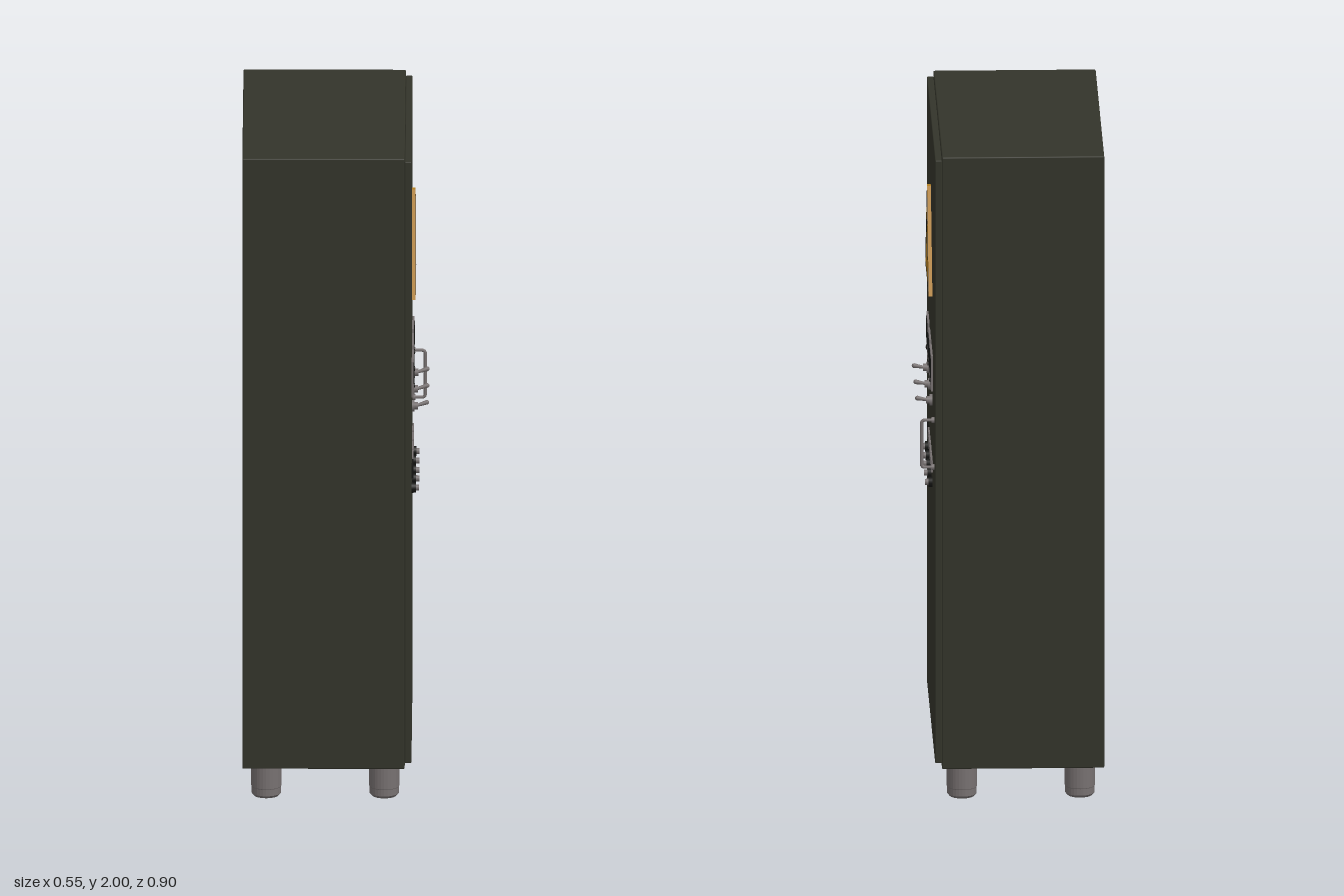
import * as THREE from 'three';
import { RoundedBoxGeometry } from 'three/addons/geometries/RoundedBoxGeometry.js';

const mat = (name, color) => {
  const m = new THREE.MeshStandardMaterial({ color });
  m.name = name;
  return m;
};

export function createModel() {
  const olive = mat('olive paint', 0x33342a);
  const grey = mat('grey metal', 0x767070);
  const yellow = mat('warning yellow', 0xb27e22);
  const black = mat('black', 0x151513);

  const root = new THREE.Group();
  root.name = 'electricalCabinet';

  const add = (parent, name, geo, material, x = 0, y = 0, z = 0) => {
    const m = new THREE.Mesh(geo, material);
    m.name = name;
    m.position.set(x, y, z);
    parent.add(m);
    return m;
  };
  const box = (w, h, d) => new THREE.BoxGeometry(w, h, d);
  // Cylinder pointing out of the door, starting at local z = 0
  const peg = (r0, r1, len, sides = 20) =>
    new THREE.CylinderGeometry(r1, r0, len, sides).rotateX(Math.PI / 2).translate(0, 0, len / 2);

  // Cabinet body and door
  add(root, 'body', new RoundedBoxGeometry(0.483, 1.9, 0.9, 2, 0.004), olive, -0.0365, 1.05, 0);
  add(root, 'door', new RoundedBoxGeometry(0.02, 1.872, 0.87, 2, 0.003), olive, 0.215, 1.05, 0);
  add(root, 'doorSeal', box(0.006, 1.85, 0.85), black, 0.206, 1.05, 0);

  // Four feet with bevelled ends
  const footProfile = [[0, 0], [0.037, 0], [0.044, 0.008], [0.044, 0.028], [0.045, 0.03], [0.045, 0.1], [0, 0.1]]
    .map(([r, y]) => new THREE.Vector2(r, y));
  const footGeo = new THREE.LatheGeometry(footProfile, 28).toNonIndexed();
  footGeo.computeVertexNormals();
  for (const x of [-0.207, 0.144])
    for (const z of [-0.384, 0.384]) add(root, 'foot', footGeo, grey, x, 0, z);

  // Door fittings: local x runs along -z, local z points out of the door
  const panel = new THREE.Group();
  panel.name = 'doorFittings';
  panel.rotation.y = Math.PI / 2;
  panel.position.x = 0.225;
  root.add(panel);

  // Warning sign
  const triangle = (half, bottom, top, Type = THREE.Shape) => {
    const s = new Type();
    s.moveTo(-half, bottom);
    s.lineTo(half, bottom);
    s.lineTo(half * 0.06, top);
    s.lineTo(-half * 0.06, top);
    s.closePath();
    return s;
  };
  const sign = new THREE.Group();
  sign.name = 'warningSign';
  sign.position.set(-0.018, 1.48, 0);
  panel.add(sign);
  add(sign, 'signPlate', new THREE.ExtrudeGeometry(triangle(0.172, 0, 0.295),
    { depth: 0.011, bevelEnabled: false }), yellow);
  const border = triangle(0.155, 0.01, 0.274);
  border.holes.push(triangle(0.147, 0.0145, 0.264, THREE.Path));
  add(sign, 'signBorder', new THREE.ExtrudeGeometry(border,
    { depth: 0.001, bevelEnabled: false }), black, 0, 0, 0.011);
  const bolt = new THREE.Shape([[0.012, 0.19], [-0.018, 0.147], [-0.002, 0.147], [-0.012, 0.105],
    [0.014, 0.158], [-0.001, 0.158]].map(([x, y]) => new THREE.Vector2(x, y)));
  add(sign, 'signBolt', new THREE.ExtrudeGeometry(bolt,
    { depth: 0.001, bevelEnabled: false }), black, -0.012, 0, 0.011);

  // Three meters, each with a toggle switch below
  for (const x of [-0.198, -0.03, 0.137]) {
    const meter = new THREE.Group();
    meter.name = 'meter';
    meter.position.set(x, 1.254, 0);
    panel.add(meter);
    add(meter, 'meterCase', box(0.127, 0.11, 0.006), grey, 0, 0, 0.003);
    add(meter, 'meterWindow', box(0.108, 0.06, 0.002), black, 0, 0.014, 0.0065);
    add(meter, 'meterScrew', peg(0.008, 0.007, 0.003), black, 0, -0.036, 0.006);
    add(meter, 'meterScrewCap', peg(0.005, 0.004, 0.003), grey, 0, -0.036, 0.007);

    const toggle = new THREE.Group();
    toggle.name = 'toggleSwitch';
    toggle.position.set(x, 1.154, 0);
    panel.add(toggle);
    add(toggle, 'switchNut', peg(0.018, 0.018, 0.008, 6), grey);
    add(toggle, 'switchCollar', peg(0.011, 0.011, 0.018), grey);
    const lever = add(toggle, 'switchLever', peg(0.004, 0.007, 0.034), grey, 0, 0, 0.013);
    lever.rotation.set(-0.25, 0.25, 0);
    add(lever, 'leverTip', new THREE.SphereGeometry(0.007, 14, 10), grey, 0, 0, 0.034);
  }

  // Five push buttons with name plates, the first plate dark
  [-0.214, -0.122, -0.037, 0.058, 0.153].forEach((x, i) => {
    const plateX = -0.213 + i * 0.091;
    add(panel, 'labelPlate', box(0.077, 0.037, 0.005), i ? grey : black, plateX, 0.962, 0.0025);
    const button = new THREE.Group();
    button.name = 'pushButton';
    button.position.set(x, 0.904, 0);
    panel.add(button);
    add(button, 'buttonRing', peg(0.016, 0.015, 0.012), black);
    add(button, 'buttonCap', peg(0.010, 0.009, 0.022), grey);
  });

  // Door handle: a bent bar on two mounting collars
  const handle = new THREE.Group();
  handle.name = 'doorHandle';
  handle.position.set(0.353, 1.083, 0);
  panel.add(handle);
  const path = new THREE.CurvePath();
  const v = (y, z) => new THREE.Vector3(0, y, z);
  path.add(new THREE.LineCurve3(v(-0.073, 0), v(-0.073, 0.028)));
  path.add(new THREE.QuadraticBezierCurve3(v(-0.073, 0.028), v(-0.073, 0.038), v(-0.063, 0.038)));
  path.add(new THREE.LineCurve3(v(-0.063, 0.038), v(0.063, 0.038)));
  path.add(new THREE.QuadraticBezierCurve3(v(0.063, 0.038), v(0.073, 0.038), v(0.073, 0.028)));
  path.add(new THREE.LineCurve3(v(0.073, 0.028), v(0.073, 0)));
  add(handle, 'handleBar', new THREE.TubeGeometry(path, 60, 0.005, 10), grey);
  for (const y of [-0.073, 0.073]) add(handle, 'handleCollar', peg(0.009, 0.009, 0.009), grey, 0, y, 0);

  return root;
}
